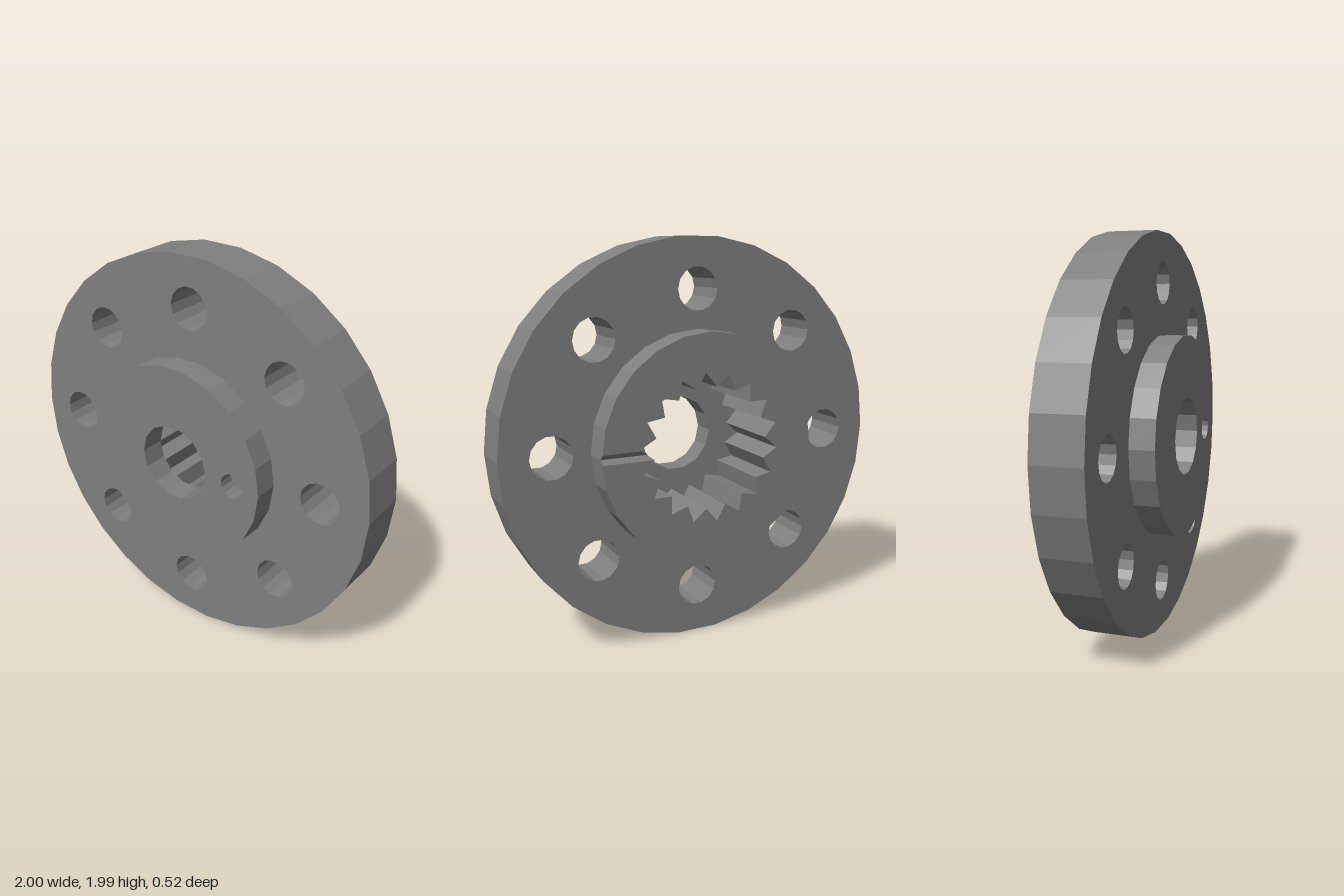
import * as THREE from 'three';

const V = (x, y) => new THREE.Vector2(x, y);

// regular polygon outline with its first corner on +x
function ring(n, r, cx = 0, cy = 0) {
  return Array.from({ length: n }, (_, i) => {
    const a = (i / n) * Math.PI * 2;
    return V(cx + r * Math.cos(a), cy + r * Math.sin(a));
  });
}

// zigzag outline of the internal spline, starting at a root just above +x
const TEETH = 18, ROOT = 0.37, TIP = 0.3, PHASE = Math.PI / 36;
const spline = Array.from({ length: TEETH * 2 }, (_, i) => {
  const a = PHASE + (i / TEETH) * Math.PI, r = i % 2 ? TIP : ROOT;
  return V(r * Math.cos(a), r * Math.sin(a));
});

export function createModel() {
  const group = new THREE.Group();
  const body = new THREE.Group();
  body.position.y = 0.9945;
  group.add(body);
  const material = new THREE.MeshStandardMaterial({ color: 0x7f7f7f, flatShading: true });

  // flat slice between two depths, with holes
  function slab(name, outline, holes, z0, z1) {
    const shape = new THREE.Shape(outline);
    shape.holes = holes.map((h) => new THREE.Path(h));
    const geo = new THREE.ExtrudeGeometry(shape, { depth: z1 - z0, bevelEnabled: false });
    geo.translate(0, 0, z0);
    const mesh = new THREE.Mesh(geo, material);
    mesh.name = name;
    body.add(mesh);
    return mesh;
  }

  // flange disc with eight bolt holes
  const bolts = ring(8, 0.75).map((p) => ring(14, 0.105, p.x, p.y));
  slab('flangeDisc', ring(30, 1), [spline, ...bolts], -0.112, 0.135);

  // front hub with the narrow bore and a blind pin hole
  const bore = ring(14, 0.194);
  slab('frontHubBase', ring(22, 0.5), [bore], 0.135, 0.18);
  slab('frontHubFace', ring(22, 0.5), [bore, ring(14, 0.063, 0.35, 0)], 0.18, 0.26);

  // back hub around the spline
  const zSplit = -0.24, half = 0.024;
  const backRing = ring(24, 0.56);
  slab('backHubBase', backRing, [spline], zSplit, -0.112);

  // back hub face, split on +x by a V-shaped index groove
  const outer = 0.5568;
  const root = spline[0], tip = spline.at(-1);
  const onFlank = (y) => root.clone().lerp(tip, (root.y - y) / (root.y - tip.y));
  const split = [
    V(outer, half), ...backRing.slice(1), V(outer, -half),
    onFlank(-half), ...spline.slice().reverse(), onFlank(half),
  ];
  const face = slab('backHubFace', split, [], -0.26, zSplit);
  const pos = face.geometry.attributes.position;
  for (let i = 0; i < pos.count; i++) {
    // close the groove at its bottom
    if (pos.getX(i) > 0.25 && Math.abs(pos.getY(i)) < half + 0.001 && pos.getZ(i) > zSplit - 0.001) {
      pos.setXYZ(i, pos.getX(i) < 0.45 ? onFlank(0).x : 0.56, 0, zSplit);
    }
  }
  face.geometry.computeVertexNormals();

  return group;
}
